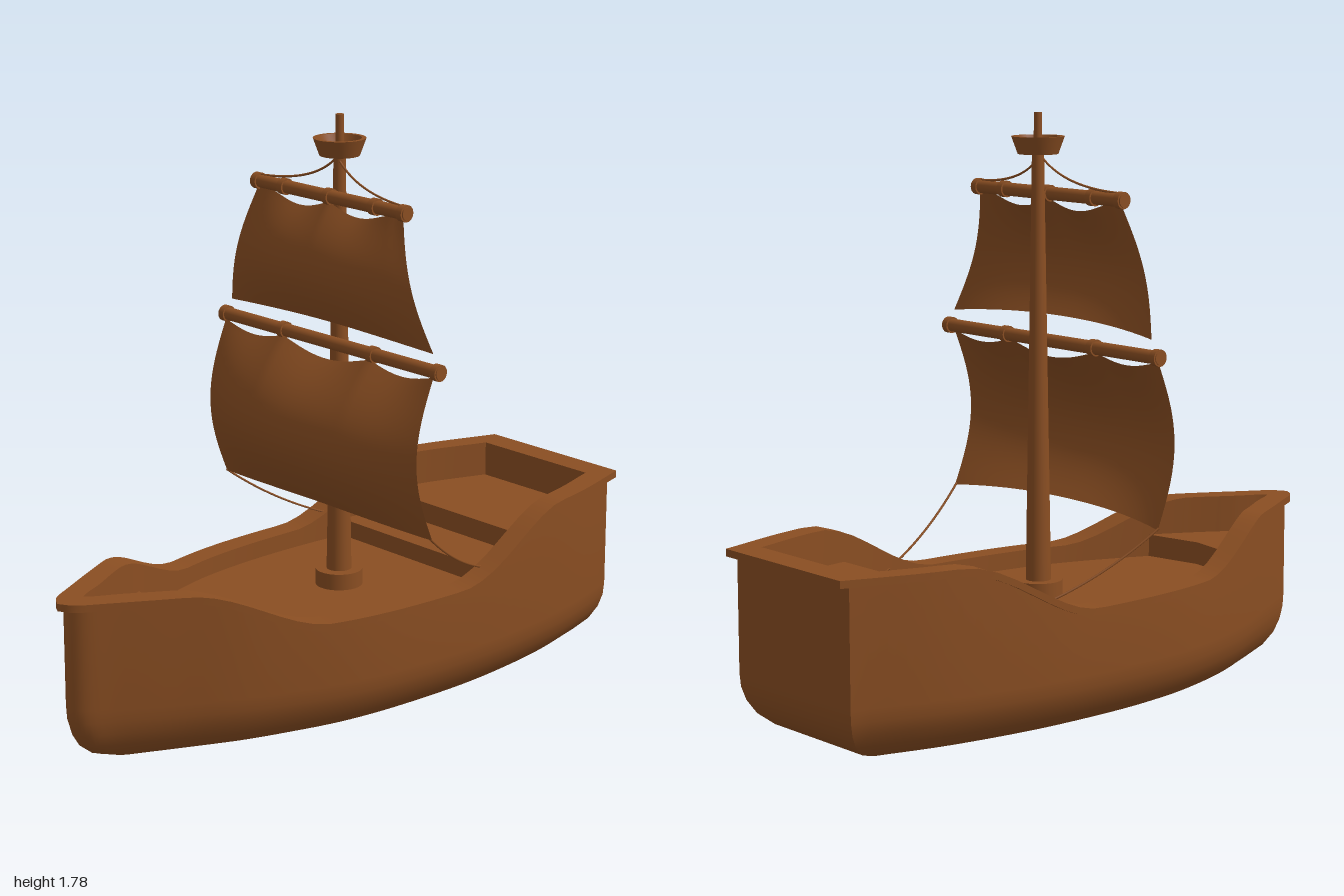
import * as THREE from 'three';
import { toCreasedNormals } from 'three/addons/utils/BufferGeometryUtils.js';

const wood = new THREE.MeshStandardMaterial({ color: 0x8a4e22 });
wood.name = 'brown wood';
const cloth = wood.clone();
cloth.name = 'brown cloth';
cloth.side = THREE.DoubleSide;

// Half outlines seen from above, stern corner to bow: [x, z]
const OUTER = [[.268, -.965], [.35, -.7], [.4, -.4], [.41, -.15], [.397, .1], [.358, .3],
  [.275, .53], [.175, .72], [.09, .87], [.045, .945], [0, .975]];
const INNER = [[.225, -.91], [.295, -.68], [.335, -.4], [.345, -.15], [.33, .1], [.29, .3],
  [.2, .54], [.12, .7], [.055, .81], [.02, .88], [0, .91]];

const HALF = 50;
function halfOutline(pts) {
  const curve = new THREE.CatmullRomCurve3(pts.map(([x, z]) => new THREE.Vector3(x, 0, z)), false, 'catmullrom', 0.5);
  return Array.from({ length: HALF + 1 }, (_, i) => curve.getPoint(i / HALF));
}

// Closed ring: left side to the bow, then the right side back to the stern
function ring(pts, height, sx = 1, sz = 1, dz = 0) {
  const half = halfOutline(pts).map(p => new THREE.Vector3(p.x * sx, 0, p.z * sz + dz));
  const right = half.slice(0, -1).reverse().map(p => new THREE.Vector3(-p.x, 0, p.z));
  const all = [...half, ...right];
  all.forEach(p => { p.y = typeof height === 'function' ? height(p.z) : height; });
  return all;
}

// Skin joining a list of closed rings
function loft(rings, crease) {
  const n = rings[0].length, pos = [], idx = [];
  rings.forEach(r => r.forEach(p => pos.push(p.x, p.y, p.z)));
  for (let j = 0; j < rings.length - 1; j++) {
    for (let i = 0; i < n; i++) {
      const k = (i + 1) % n, a = j * n + i, b = j * n + k;
      idx.push(a, a + n, b, b, a + n, b + n);
    }
  }
  const g = new THREE.BufferGeometry();
  g.setAttribute('position', new THREE.Float32BufferAttribute(pos, 3));
  g.setIndex(idx);
  return toCreasedNormals(g, crease);
}

// Height of the rail top along the ship
function sheer(z) {
  return 0.385 + 0.13 * THREE.MathUtils.smoothstep(z, 0.29, 0.69)
    + 0.175 * (1 - THREE.MathUtils.smoothstep(z, -0.65, -0.18));
}

// Deck block filling the inner outline between two z values
function deckBlock(z0, z1, y, notch = 0) {
  const pts = halfOutline(INNER);
  const width = z => {
    const i = Math.max(1, pts.findIndex(p => p.z >= z));
    const a = pts[i - 1], b = pts[i];
    return a.x + (b.x - a.x) * (z - a.z) / (b.z - a.z) + 0.004;
  };
  const side = [];
  for (let i = 0; i <= 20; i++) {
    const z = z0 + (z1 - z0) * i / 20;
    side.push([width(z), z]);
  }
  const outline = [[0, z0 + notch], ...side, ...side.slice().reverse().map(([x, z]) => [-x, z])];
  const shape = new THREE.Shape(outline.map(([x, z]) => new THREE.Vector2(x, -z)));
  const g = new THREE.ExtrudeGeometry(shape, { depth: y - 0.28, bevelEnabled: false });
  return g.rotateX(-Math.PI / 2).translate(0, 0.28, 0);
}

// Billowing sail with a scalloped upper edge
function sailGeometry(s) {
  const g = new THREE.PlaneGeometry(2, 1, 48, 24), p = g.attributes.position;
  for (let i = 0; i < p.count; i++) {
    const u = p.getX(i), v = 0.5 - p.getY(i);
    const mid = 1 - u ** 4;
    const scallop = s.scallop * Math.abs(Math.sin(u * Math.PI * 2.4 * 0.5 + Math.PI / 2 * s.phase)) * (1 - v) ** 4 * mid;
    const y = s.top + (s.bottom - s.top) * v + s.lift * (1 - u * u) * v * v - scallop;
    const z = s.z + s.edge * Math.sin(Math.PI * v) + s.belly * (1 - Math.abs(u) ** 2.5) * Math.sin(Math.PI * 0.8 * v);
    p.setXYZ(i, u * (s.topHalf + (s.bottomHalf - s.topHalf) * v), y, z);
  }
  g.computeVertexNormals();
  return g;
}

export function createModel() {
  const ship = new THREE.Group();
  ship.name = 'sailingShip';
  const add = (name, geometry, material = wood, parent = ship) => {
    const m = new THREE.Mesh(geometry, material);
    m.name = name;
    parent.add(m);
    return m;
  };

  // Hull with a rounded bilge: [y, x scale, z scale]
  const levels = [[0, 0, 0], [0, .46, .75], [.013, .66, .85], [.035, .79, .915], [.07, .89, .96],
    [.11, .955, .985], [.15, .99, .997], [.19, 1, 1]];
  const hullRings = levels.map(([y, sx, sz]) => ring(OUTER, y, sx, sz));
  hullRings.push(ring(OUTER, z => sheer(z) - 0.015));
  add('hull', loft(hullRings, 0.7));

  // Overhanging rail and inner bulwark
  const low = z => sheer(z) - 0.022;
  add('rail', loft([
    ring(OUTER, low, 0.99, 0.99), ring(OUTER, low, 1.022, 1.031, -0.005),
    ring(OUTER, sheer, 1.022, 1.031, -0.005), ring(INNER, sheer), ring(INNER, 0.29),
  ], 0.6));

  // Stepped decks
  add('mainDeck', deckBlock(-0.909, 0.905, 0.33));
  add('aftStep', deckBlock(-0.909, -0.375, 0.385));
  add('aftDeck', deckBlock(-0.909, -0.55, 0.45));
  add('foreDeck', deckBlock(0.565, 0.905, 0.4, 0.035));

  // Mast, collar and lookout
  const mast = new THREE.Group();
  mast.name = 'mast';
  mast.position.z = -0.06;
  ship.add(mast);
  const post = (name, rt, rb, y0, y1) =>
    add(name, new THREE.CylinderGeometry(rt, rb, y1 - y0, 28).translate(0, (y0 + y1) / 2, 0), wood, mast);
  post('mastPole', 0.018, 0.039, 0.32, 1.66);
  post('mastTip', 0.012, 0.013, 1.65, 1.78);
  post('mastCollar', 0.072, 0.072, 0.32, 0.38);
  const nest = [[0, 1.658], [.06, 1.658], [.079, 1.71], [.066, 1.71], [.052, 1.675], [0, 1.675]];
  add('lookout', toCreasedNormals(new THREE.LatheGeometry(nest.map(([x, y]) => new THREE.Vector2(x, y)), 32), 0.5), wood, mast);

  // Yards with bands
  const yard = (name, y, z, half, bands) => {
    const g = new THREE.Group();
    g.name = name;
    g.position.set(0, y, z);
    ship.add(g);
    const rod = (n, r, len, x) =>
      add(n, new THREE.CylinderGeometry(r, r, len, 20).rotateZ(Math.PI / 2).translate(x, 0, 0), wood, g);
    rod(name + 'Spar', 0.02, half * 2, 0);
    bands.forEach(x => rod(name + 'Band', 0.025, 0.022, x));
  };
  yard('lowerYard', 1.1, -0.015, 0.487, [-.473, -.2, .2, .473]);
  yard('upperYard', 1.54, -0.02, 0.337, [-.322, -.2, 0, .2, .322]);

  // Sails
  add('lowerSail', sailGeometry({ top: 1.085, bottom: 0.595, topHalf: .465, bottomHalf: .467, z: -0.005,
    edge: 0.065, belly: 0.078, lift: 0.022, scallop: 0.035, phase: 1 }), cloth);
  add('upperSail', sailGeometry({ top: 1.525, bottom: 1.15, topHalf: .32, bottomHalf: .45, z: -0.018,
    edge: 0.03, belly: 0.055, lift: 0.024, scallop: 0.03, phase: 0 }), cloth);

  // Slack ropes on both sides
  const rope = (name, a, c, b) => {
    for (const s of [1, -1]) {
      const v = ([x, y, z]) => new THREE.Vector3(x * s, y, z);
      add(name, new THREE.TubeGeometry(new THREE.QuadraticBezierCurve3(v(a), v(c), v(b)), 20, 0.0035, 6));
    }
  };
  rope('sheetRope', [.465, .6, 0], [.405, .46, -.17], [.337, .395, -.375]);
  rope('liftRope', [.31, 1.56, -.02], [.1, 1.565, -.04], [.01, 1.645, -.05]);
  return ship;
}
